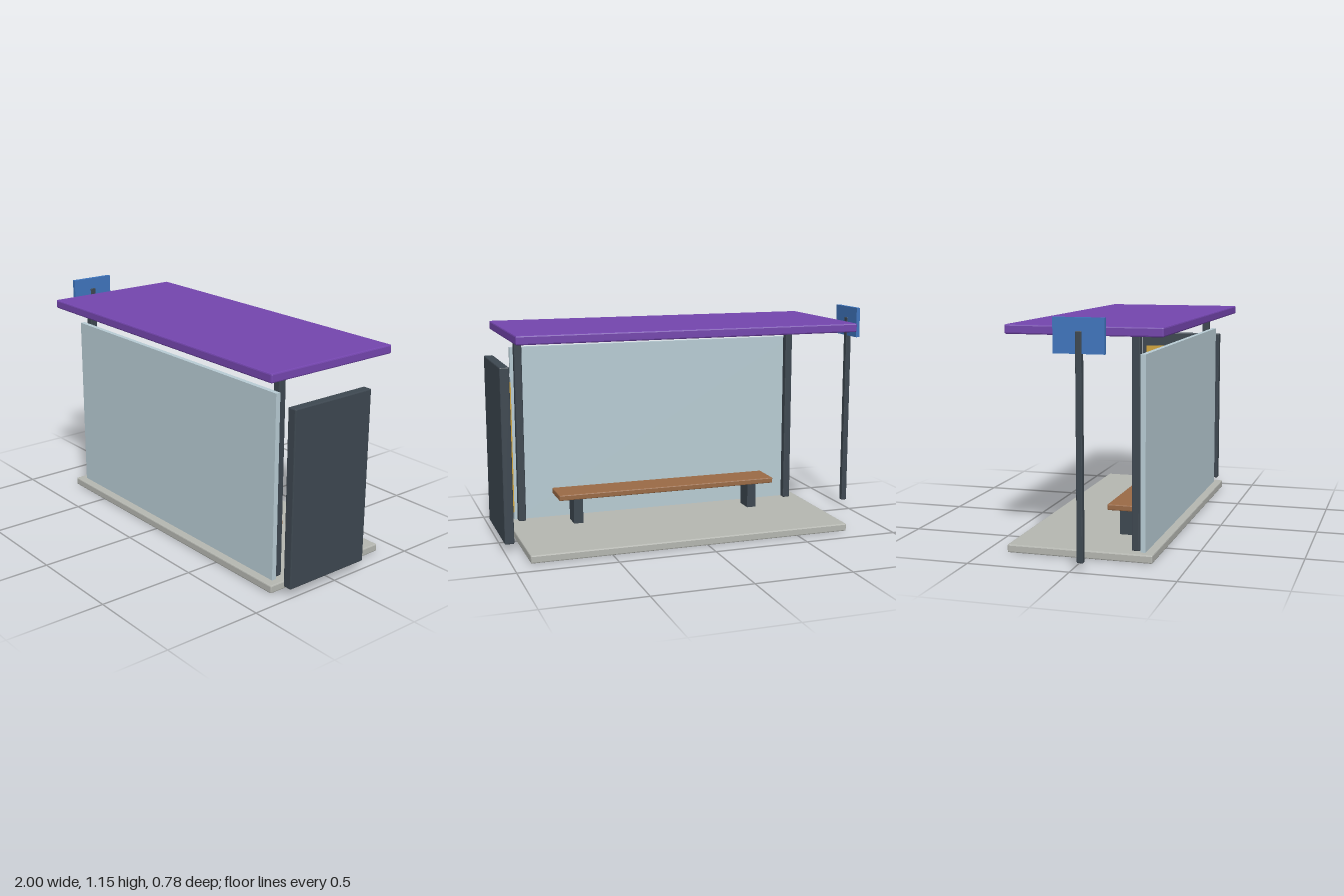
import * as THREE from 'three';
import { RoundedBoxGeometry } from 'three/addons/geometries/RoundedBoxGeometry.js';

const paint = (color) => new THREE.MeshStandardMaterial({ color, flatShading: true });

export function createModel() {
  const model = new THREE.Group();
  const dark = paint(0x3d4750);
  const purple = paint(0x7345ad);
  const concrete = paint(0xb4b6b0);
  const glass = paint(0xb7cbd3);
  const wood = paint(0x9a6a45);
  const gold = paint(0xd2a53c);
  const blue = paint(0x3f75bd);

  // Box spanning [min, max] on each axis, with optional chamfered edges
  function block(name, material, [x0, x1], [y0, y1], [z0, z1], chamfer = 0, parent = model) {
    const size = [x1 - x0, y1 - y0, z1 - z0];
    const geometry = chamfer
      ? new RoundedBoxGeometry(...size, 1, chamfer)
      : new THREE.BoxGeometry(...size);
    const mesh = new THREE.Mesh(geometry, material);
    mesh.name = name;
    mesh.position.set((x0 + x1) / 2, (y0 + y1) / 2, (z0 + z1) / 2);
    parent.add(mesh);
    return mesh;
  }

  function group(name) {
    const g = new THREE.Group();
    g.name = name;
    model.add(g);
    return g;
  }

  const centre = 0.065; // middle of the shelter along x

  // Shelter shell
  block('floorSlab', concrete, [-0.78, 0.91], [0, 0.04], [-0.39, 0.33], 0.006);
  block('roof', purple, [-0.82, 0.95], [1.055, 1.1], [-0.37, 0.39], 0.007);
  block('glassWall', glass, [-0.74, 0.87], [0.04, 0.97], [0.262, 0.287]);

  // Roof posts beside the glass
  for (const side of [-1, 1]) {
    const x = centre + side * 0.77;
    block(side > 0 ? 'leftPost' : 'rightPost', dark,
      [x - 0.02, x + 0.02], [0.04, 1.06], [0.215, 0.255], 0.005);
  }

  // Bench: plank on two legs
  const bench = group('bench');
  block('benchSeat', wood, [centre - 0.605, centre + 0.605], [0.18, 0.21], [0.04, 0.22], 0.005, bench);
  for (const side of [-1, 1]) {
    const x = centre + side * 0.495;
    block('benchLeg', dark, [x - 0.025, x + 0.025], [0.04, 0.182], [0.08, 0.18], 0, bench);
  }

  // Poster case at the end of the shelter, poster facing inwards
  const posterCase = group('posterCase');
  block('posterFrame', dark, [0.952, 1], [0.045, 0.93], [-0.19, 0.29], 0.005, posterCase);
  block('poster', gold, [0.942, 0.953], [0.2, 0.85], [-0.16, 0.26], 0, posterCase);

  // Stop sign plate on its own pole
  const stopSign = group('stopSign');
  block('signPole', dark, [-1, -0.97], [0.045, 1.09], [0.035, 0.065], 0.004, stopSign);
  block('signPlate', blue, [-0.995, -0.975], [0.99, 1.15], [-0.07, 0.17], 0, stopSign);

  return model;
}
